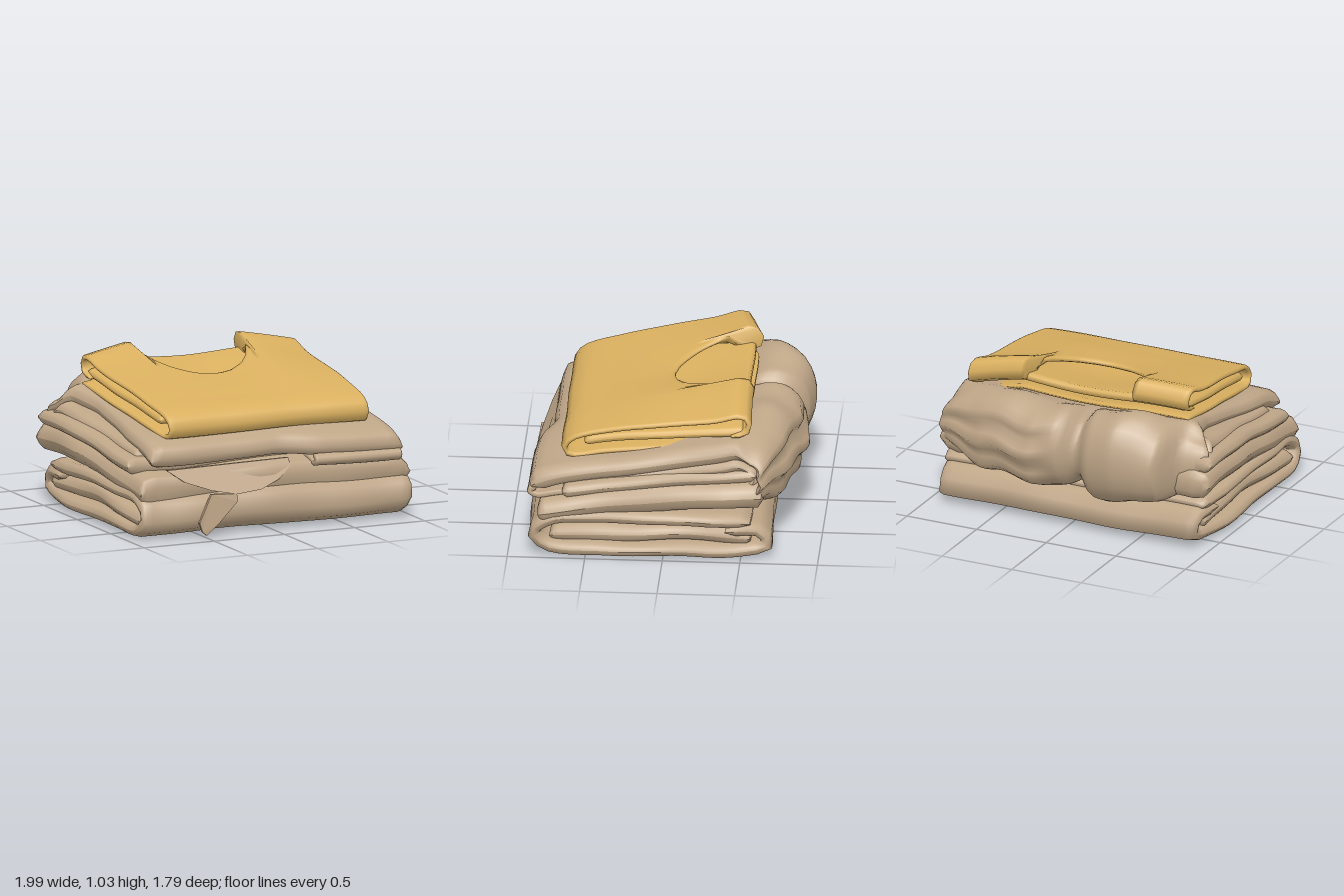
import * as THREE from 'three';

const gold = new THREE.MeshStandardMaterial({ color: 0xdab060, side: THREE.DoubleSide });
gold.name = 'golden cotton';
const beige = new THREE.MeshStandardMaterial({ color: 0xbfa688, side: THREE.DoubleSide });
beige.name = 'beige twill';

// piecewise linear lookup in [[key, value], ...] with rising keys
function look(table, k) {
  if (k <= table[0][0]) return table[0][1];
  for (let i = 1; i < table.length; i++) {
    const [a, va] = table[i - 1], [b, vb] = table[i];
    if (k <= b) return va + (vb - va) * (k - a) / (b - a);
  }
  return table[table.length - 1][1];
}
const smooth = THREE.MathUtils.smoothstep;
const bump = (v, c, w) => Math.exp(-(((v - c) / w) ** 2));

// A soft folded sheet: a (z, y) fold path with thickness, spread between side edges.
function cloth(name, material, { path, thick, left, right, limit, shape, wobble = 0.01 }) {
  const curve = new THREE.CatmullRomCurve3(path.map(([z, y]) => new THREE.Vector3(0, y, z)), false, 'centripetal');
  const M = 50, N = 58, L = 2 * (M + 1), rim = thick * 0.3;
  const us = [0, rim * 0.1, rim * 0.4];
  for (let i = 0; i <= N; i++) us.push(rim + (1 - 2 * rim) * i / N);
  us.push(1 - rim * 0.4, 1 - rim * 0.1, 1);
  const pos = [], idx = [];
  us.forEach((u, i) => {
    const d = Math.min(1, Math.min(u, 1 - u) / rim);
    const round = Math.sqrt(1 - (1 - d) ** 2);
    let tEnd = 1;
    if (limit) {
      const x0 = THREE.MathUtils.lerp(left[0][1], right[0][1], u), zl = limit(x0);
      while (tEnd > 0.5 && curve.getPointAt(tEnd).z < zl) tEnd -= 0.002;
    }
    for (let j = 0; j < L; j++) {
      const side = j <= M ? 1 : -1, k = j <= M ? j : L - 1 - j;
      // only the second half of the path is shortened by a cut-out
      const t = k < M / 2 ? k / M : 0.5 + (tEnd - 0.5) * (2 * k / M - 1);
      const p = curve.getPointAt(t), T = curve.getTangentAt(t);
      const h = side * thick / 2 * round * (k === 0 || k === M ? 0.45 : 1);
      const v = new THREE.Vector3(
        THREE.MathUtils.lerp(look(left, p.z), look(right, p.z), u), p.y + T.z * h, p.z - T.y * h);
      const { x, y, z } = v;
      v.y += wobble * (Math.sin(4.1 * x + 2.3 * z) + 0.6 * Math.sin(7 * z - 5 * x + 9 * y));
      v.z += wobble * (Math.sin(5 * x + 6 * y) + 0.5 * Math.sin(11 * x + 2));
      v.x += wobble * (Math.sin(6 * z + 13 * y) + 0.5 * Math.sin(12 * z));
      if (shape) shape(v);
      pos.push(v.x, Math.max(0, v.y), v.z);
      if (i < us.length - 1) {
        const a = i * L + j, b = i * L + (j + 1) % L;
        idx.push(a, b, a + L, b, b + L, a + L);
      }
    }
  });
  const g = new THREE.BufferGeometry();
  g.setAttribute('position', new THREE.Float32BufferAttribute(pos, 3));
  g.setIndex(idx);
  g.computeVertexNormals();
  const mesh = new THREE.Mesh(g, material);
  mesh.name = name;
  return mesh;
}

// thin cloth piece lying over the front fold
function flap(name, points, z, lean) {
  const shape = new THREE.Shape(points.map(([x, y]) => new THREE.Vector2(x, y)));
  const g = new THREE.ExtrudeGeometry(shape, { depth: 0.02, bevelEnabled: false });
  const p = g.attributes.position;
  for (let i = 0; i < p.count; i++) p.setZ(i, p.getZ(i) + z - lean * Math.max(0, p.getY(i) - 0.25));
  g.computeVertexNormals();
  const mesh = new THREE.Mesh(g, beige);
  mesh.name = name;
  return mesh;
}

// rear outline of the bundled trouser legs, as depth over x
const rearLine = [[-1, -0.58], [-0.76, -0.64], [-0.69, -0.84], [-0.4, -0.91], [-0.2, -0.87], [-0.1, -0.77],
  [0, -0.87], [0.2, -0.9], [0.6, -0.82], [0.97, -0.66]];
function bundle(v) {
  if (v.z < -0.42) {
    const w = smooth(-v.z, 0.42, 0.7);
    v.z = -0.42 + (v.z + 0.42) * (look(rearLine, v.x) + 0.42) / -0.5;
    // stacked cuffs pinch the left-hand lobe
    const cuffs = smooth(v.x, 0, 0.2) * smooth(-v.z, 0.55, 0.75);
    v.z += cuffs * (0.07 * bump(v.y, 0.62, 0.05) + 0.06 * bump(v.y, 0.44, 0.05));
    // seam between the lobes, and lower outer ends
    v.y += w * (v.y - 0.5) * (0.16 * bump(v.x, -0.4, 0.22) - 0.3 * bump(v.x, -0.1, 0.06)
      - 0.45 * smooth(Math.abs(v.x), 0.55, 0.95));
    v.y += w * 0.015 * Math.sin(14 * v.x + 6 * v.z);
  }
}

export function createModel() {
  const model = new THREE.Group();
  model.name = 'foldedClothes';

  // bottom trousers: outer fold and the layer inside it
  const lowLeft = [[-0.7, -0.9], [-0.3, -0.96], [0.4, -0.95], [0.85, -0.93]];
  const lowRight = [[-0.7, 0.93], [-0.3, 0.985], [0.85, 0.985]];
  model.add(cloth('bottomTrousersOuterFold', beige, {
    path: [[-0.56, 0.25], [0, 0.28], [0.45, 0.28], [0.72, 0.26], [0.84, 0.17], [0.77, 0.075], [0.4, 0.058],
      [0, 0.058], [-0.5, 0.055], [-0.66, 0.09], [-0.62, 0.18], [-0.4, 0.2]],
    thick: 0.09, left: lowLeft, right: lowRight, wobble: 0.007,
    shape: (v) => { v.z -= 0.03 * smooth(v.z, 0.4, 0.8) * smooth(-v.x, 0.5, 0.9); },
  }));
  model.add(cloth('bottomTrousersInnerLayer', beige, {
    path: [[0.74, 0.13], [0.3, 0.15], [0, 0.165], [-0.55, 0.13]],
    thick: 0.12, left: [[0, -0.91]], right: [[0, 0.93]],
  }));

  // middle trousers: a plump folded body with a thinner layer on it
  model.add(cloth('middleTrousersBody', beige, {
    path: [[0.8, 0.3], [0.6, 0.335], [0.3, 0.38], [0, 0.41], [-0.35, 0.425], [-0.64, 0.42]],
    thick: 0.2, left: [[-0.6, -0.99], [0, -0.96], [0.8, -0.93]],
    right: [[-0.65, 0.94], [-0.4, 0.97], [0.8, 0.985]], wobble: 0.01,
  }));
  model.add(cloth('middleTrousersUpperLayer', beige, {
    path: [[0.64, 0.45], [0.3, 0.49], [0, 0.525], [-0.6, 0.555]],
    thick: 0.1, left: [[-0.6, -0.98], [0.6, -0.94]], right: [[-0.6, 0.91], [0.5, 0.95]],
  }));

  // top trousers: sloping sheet that rolls over the back as two lobes
  model.add(cloth('topTrousersRoll', beige, {
    path: [[0.74, 0.49], [0.6, 0.55], [0.2, 0.61], [-0.2, 0.665], [-0.48, 0.715], [-0.66, 0.76], [-0.8, 0.7],
      [-0.86, 0.55], [-0.8, 0.39], [-0.65, 0.34], [-0.4, 0.38]],
    thick: 0.13, left: [[-0.85, -0.95], [-0.5, -0.86], [-0.2, -0.77], [0.4, -0.8], [0.85, -0.82]],
    right: [[-0.85, 0.94], [-0.5, 0.88], [0.3, 0.92], [0.85, 0.92]], wobble: 0.009,
    shape: (v) => {
      bundle(v);
      const lip = smooth(v.x, 0.05, 0.35) * smooth(v.z, 0.45, 0.78);
      v.z += 0.11 * lip;
      v.y -= 0.01 * lip;
    },
  }));
  model.add(cloth('topTrousersUnderLayer', beige, {
    path: [[0.55, 0.5], [0.1, 0.55], [-0.35, 0.6], [-0.62, 0.64], [-0.74, 0.56], [-0.66, 0.47], [-0.3, 0.47]],
    thick: 0.1, left: [[-0.7, -0.93], [0.5, -0.84]], right: [[-0.7, 0.9], [0.5, 0.89]],
    shape: bundle,
  }));
  model.add(cloth('rolledCore', beige, {
    path: [[-0.35, 0.56], [-0.6, 0.56], [-0.7, 0.52], [-0.6, 0.42], [-0.35, 0.42]],
    thick: 0.1, left: [[0, -0.86]], right: [[0, 0.87]], shape: bundle,
  }));
  // turned trouser hem below the front lip
  model.add(cloth('frontHem', beige, {
    path: [[0.5, 0.46], [0.7, 0.425], [0.82, 0.405], [0.86, 0.43], [0.82, 0.46]],
    thick: 0.035, left: [[0, 0.3]], right: [[0, 0.91]], wobble: 0.006,
  }));

  // loose waistband swag and its pointed tie at the front
  model.add(flap('waistSwag', [[-0.73, 0.44], [-0.62, 0.36], [-0.45, 0.3], [-0.28, 0.265], [-0.1, 0.28],
    [0.04, 0.33], [0.14, 0.4], [0.14, 0.45]], 0.865, 0.6));
  model.add(flap('tieEnd', [[-0.46, 0.28], [-0.55, 0.1], [-0.53, 0.04], [-0.5, 0.015], [-0.42, 0.08],
    [-0.28, 0.22], [-0.28, 0.27]], 0.87, 0.5));

  // shirt on top: slanted fold with a round neck cut into the upper layer
  const shirtLeft = [[-0.5, -0.755], [0, -0.715], [0.66, -0.655]];
  const shirtRight = [[-0.5, 0.785], [0.66, 0.765]];
  const drape = (v) => {
    const back = smooth(-v.z, -0.5, 0.5), out = Math.max(0, Math.abs(v.x) - 0.4);
    v.y -= back * out * (v.x > 0 ? 0.24 : 0.14);
    v.y -= 0.045 * bump(v.x, 0, 0.33) * bump(v.z, -0.1, 0.35);
    if (v.x < -0.4) v.z += back * 0.22 * (-0.4 - v.x);
    v.z += 0.015 * bump(v.x, 0, 0.6) * smooth(v.z, 0.4, 0.6) - 0.01;
  };
  model.add(cloth('shirtOuterFold', gold, {
    path: [[-0.52, 0.83], [0, 0.735], [0.4, 0.66], [0.6, 0.625], [0.655, 0.66], [0.61, 0.735], [0.35, 0.815],
      [0, 0.9], [-0.3, 0.965], [-0.47, 1.012], [-0.525, 0.985], [-0.52, 0.91], [-0.42, 0.875]],
    thick: 0.035, left: shirtLeft, right: shirtRight, wobble: 0.005, shape: drape,
    limit: (x) => {
      const s = 1 - ((x + 0.01) / 0.39) ** 2;
      return s > 0 ? -0.5 + 0.49 * Math.sqrt(s) : -1;
    },
  }));
  model.add(cloth('shirtBackPanel', gold, {
    path: [[0.52, 0.715], [0.2, 0.78], [0, 0.815], [-0.3, 0.87], [-0.5, 0.9]],
    thick: 0.055, left: [[-0.5, -0.73], [0.6, -0.65]], right: [[-0.5, 0.77], [0.6, 0.75]],
    wobble: 0.005, shape: drape,
  }));

  return model;
}
